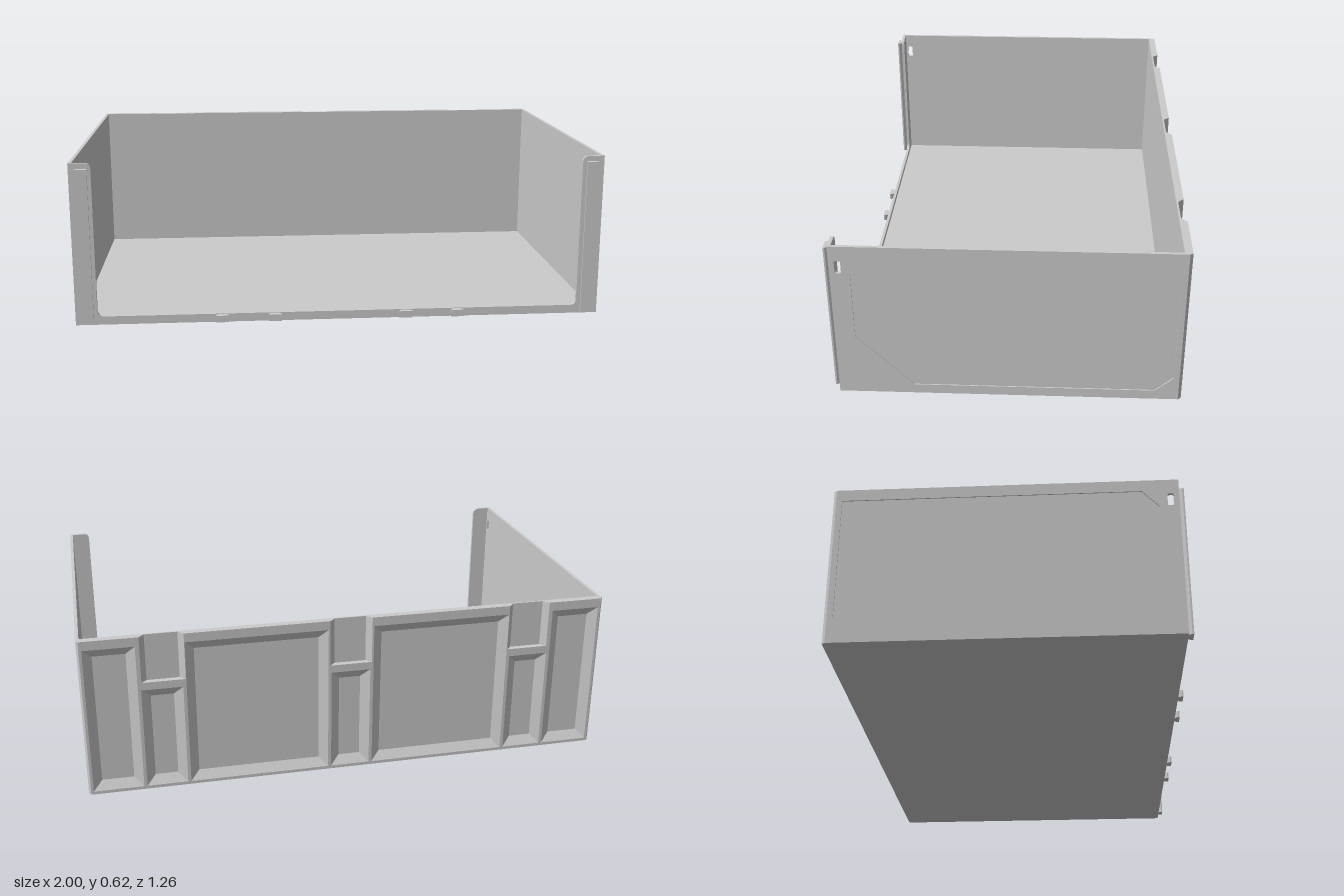
import * as THREE from 'three';

const H = 0.62, FLOOR = 0.012, BACK = -0.632, SKIN = -0.61, FRONT = 0.612;
const mat = new THREE.MeshStandardMaterial({ color: 0xcccccc, flatShading: true, side: THREE.DoubleSide });

const toShape = pts => new THREE.Shape(pts.map(p => new THREE.Vector2(p[0], p[1])));
const rect = (x0, x1, y0, y1) => [[x0, y0], [x1, y0], [x1, y1], [x0, y1]];

// Surface strip joining two closed outlines, each at its own z
function loft(a, za, b, zb) {
  const pos = [], idx = [], n = a.length;
  a.forEach((p, i) => pos.push(p[0], p[1], za, b[i][0], b[i][1], zb));
  for (let i = 0; i < n; i++) {
    const p = 2 * i, q = 2 * ((i + 1) % n);
    idx.push(p, q, p + 1, q, q + 1, p + 1);
  }
  const g = new THREE.BufferGeometry();
  g.setAttribute('position', new THREE.Float32BufferAttribute(pos, 3));
  g.setIndex(idx);
  g.computeVertexNormals();
  return g;
}

// Back outline with three dovetail notches open at the top edge
function backOutline(halfWidth, notchHalf, notchY) {
  const pts = [[-halfWidth, 0], [halfWidth, 0], [halfWidth, H]];
  for (const c of [0.7, 0, -0.7]) {
    pts.push([c + notchHalf, H], [c + notchHalf, notchY], [c - notchHalf, notchY], [c - notchHalf, H]);
  }
  pts.push([-halfWidth, H]);
  return pts;
}

export function createModel() {
  const model = new THREE.Group();
  const add = (name, geo, parent = model) => {
    const m = new THREE.Mesh(geo, mat);
    m.name = name;
    parent.add(m);
    return m;
  };
  const box = (name, x0, x1, y0, y1, z0, z1, parent) =>
    add(name, new THREE.BoxGeometry(x1 - x0, y1 - y0, z1 - z0)
      .translate((x0 + x1) / 2, (y0 + y1) / 2, (z0 + z1) / 2), parent);

  box('floor', -0.997, 0.997, 0, FLOOR, SKIN, 0.605);

  // Side walls: inner layer plus an outer layer cut out for the sunken panel
  const slot = () => {
    const s = new THREE.Path();
    const x0 = -0.592, x1 = -0.57, y0 = 0.512, y1 = 0.562, c = 0.004;
    s.setFromPoints([[x0 + c, y0], [x1 - c, y0], [x1, y0 + c], [x1, y1 - c], [x1 - c, y1],
      [x0 + c, y1], [x0, y1 - c], [x0, y0 + c]].map(p => new THREE.Vector2(...p)));
    s.closePath();
    return s;
  };
  const panel = [[-0.54, 0.51], [-0.48, 0.575], [0.6, 0.575], [0.6, 0.095],
    [0.535, 0.037], [-0.335, 0.037], [-0.54, 0.245]];
  const wallLayer = (x, depth, hasPanel) => {
    const s = toShape(rect(-FRONT, 0.62, 0, H));
    s.holes.push(slot());
    if (hasPanel) s.holes.push(new THREE.Path(panel.map(p => new THREE.Vector2(...p))));
    return new THREE.ExtrudeGeometry(s, { depth, bevelEnabled: false }).rotateY(Math.PI / 2).translate(x, 0, 0);
  };
  for (const s of [1, -1]) {
    const side = new THREE.Group();
    side.name = s > 0 ? 'leftWall' : 'rightWall';
    model.add(side);
    add('wallCore', wallLayer(s > 0 ? 0.988 : -0.996, 0.008, false), side);
    add('wallPanelFrame', wallLayer(s > 0 ? 0.996 : -1, 0.004, true), side);
  }

  // Front frame: two posts joined by a low sill, with rounded inner corners
  const f = new THREE.Shape();
  const r = 0.025, w = 0.918, sill = 0.032;
  f.moveTo(-1, 0);
  f.lineTo(1, 0);
  f.lineTo(1, H);
  f.lineTo(w + r, H);
  f.quadraticCurveTo(w, H, w, H - r);
  f.lineTo(w, sill + r);
  f.quadraticCurveTo(w, sill, w - r, sill);
  f.lineTo(-w + r, sill);
  f.quadraticCurveTo(-w, sill, -w, sill + r);
  f.lineTo(-w, H - r);
  f.quadraticCurveTo(-w, H, -w - r, H);
  f.lineTo(-1, H);
  add('frontFrame', new THREE.ExtrudeGeometry(f, { depth: 0.012, bevelEnabled: false, curveSegments: 6 })
    .translate(0, 0, FRONT - 0.012));

  // Dovetail bars standing on the front frame, wider at their outer face
  const dovetail = (name, x, half, y0, y1) => {
    const s = toShape([[-half * 0.65, 0], [half * 0.65, 0], [half, 0.014], [half, 0.02], [-half, 0.02], [-half, 0.014]]);
    const g = new THREE.ExtrudeGeometry(s, { depth: y1 - y0, bevelEnabled: false });
    // shape depth direction becomes -y, so start from the top
    add(name, g.rotateX(Math.PI / 2).translate(x, y1, FRONT));
  };
  for (const s of [1, -1]) {
    dovetail('frontRail', s * 0.953, 0.023, 0.01, 0.6);
    for (const x of [0.25, 0.45]) dovetail('frontTab', s * x, 0.025, 0.004, 0.03);
  }

  // Back wall: thin skin, ribbed outer face, chamfered rim and notch walls
  box('backSkin', -1, 1, 0, H, SKIN, -0.603);
  const outer = backOutline(0.992, 0.08, 0.44), mid = backOutline(1, 0.07, 0.44), inner = backOutline(1, 0.06, 0.44);
  const face = toShape(outer);
  const recesses = [[-0.075, 0.075, 0.41]];
  for (const s of [1, -1]) {
    for (const [a, b, top] of [[0.795, 0.982, 0.585], [0.63, 0.783, 0.41], [0.087, 0.618, 0.585]]) {
      recesses.push([Math.min(s * a, s * b), Math.max(s * a, s * b), top]);
    }
  }
  const back = new THREE.Group();
  back.name = 'backRibs';
  model.add(back);
  const slope = 0.034;
  for (const [x0, x1, top] of recesses) {
    const rim = rect(x0, x1, 0.012, top);
    face.holes.push(new THREE.Path(rim.map(p => new THREE.Vector2(...p))));
    add('recessSlopes', loft(rim, BACK, rect(x0 + slope, x1 - slope, 0.012 + slope, top - slope), SKIN), back);
  }
  // outer face turned to look backwards; the layout is symmetric in x
  add('ribFace', new THREE.ShapeGeometry(face).rotateY(Math.PI).translate(0, 0, BACK), back);
  add('rimChamfer', loft(outer, BACK, mid, -0.621), back);
  add('rimEdge', loft(mid, -0.621, inner, SKIN), back);

  return model;
}
